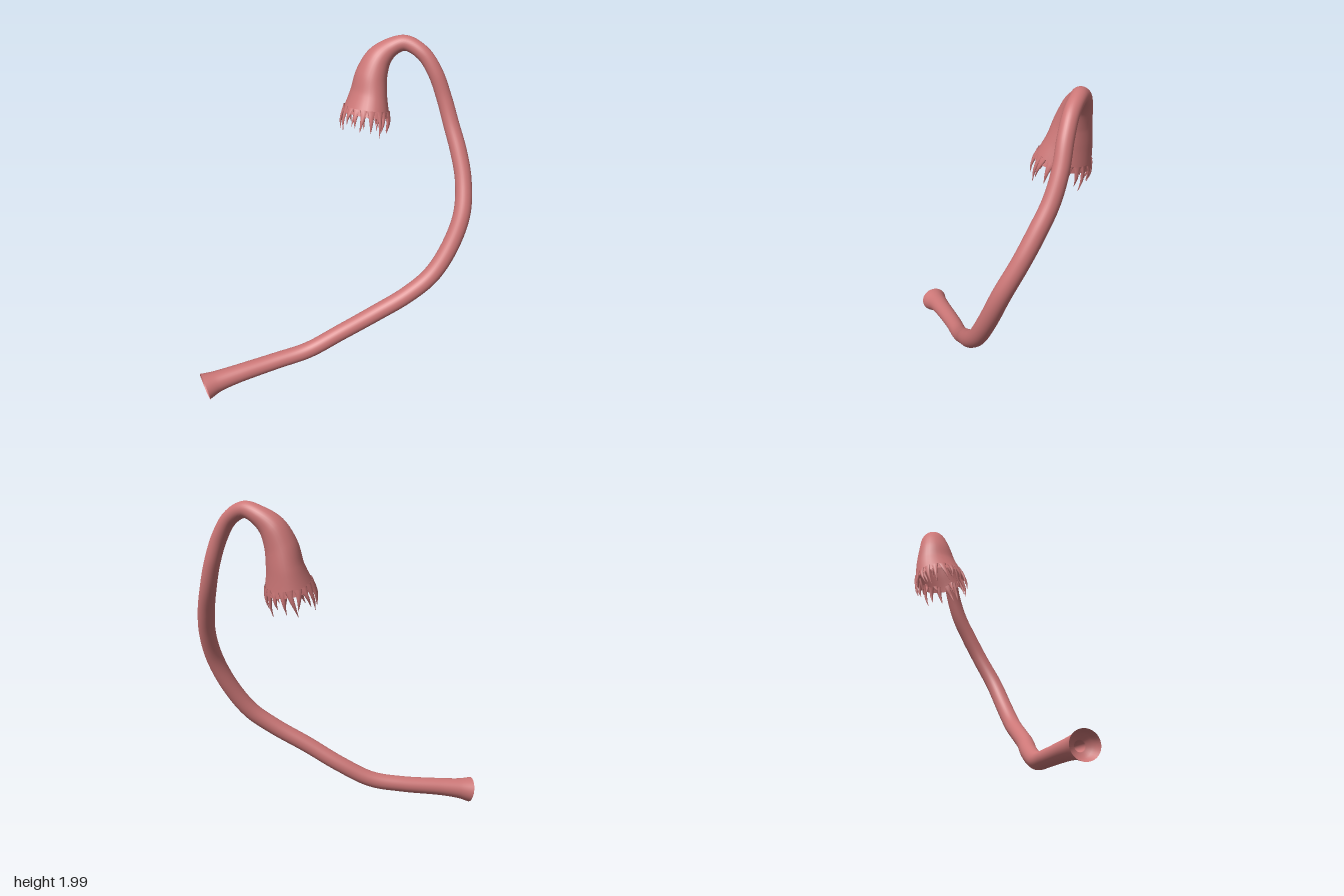
import * as THREE from 'three';

const material = new THREE.MeshStandardMaterial({ color: 0xcc7777, side: THREE.DoubleSide });

// Path stations: x, y, z, depth radius, width radius
const STATIONS = [
  [-0.86, 0.087, 0.13, 0.086, 0.08], [-0.78, 0.102, 0.13, 0.066, 0.064], [-0.65, 0.122, 0.137, 0.057, 0.055],
  [-0.4, 0.155, 0.155, 0.052, 0.05], [-0.2, 0.195, 0.185, 0.05, 0.05], [0, 0.3, 0.23, 0.05, 0.05],
  [0.2, 0.425, 0.293, 0.051, 0.051], [0.4, 0.545, 0.342, 0.052, 0.052], [0.55, 0.66, 0.36, 0.053, 0.053],
  [0.675, 0.83, 0.35, 0.053, 0.053], [0.765, 1.02, 0.313, 0.052, 0.052], [0.808, 1.2, 0.232, 0.05, 0.05],
  [0.813, 1.35, 0.15, 0.05, 0.05], [0.8, 1.5, 0.065, 0.048, 0.048], [0.775, 1.65, 0.005, 0.046, 0.046],
  [0.73, 1.8, -0.042, 0.045, 0.045], [0.675, 1.905, -0.1, 0.044, 0.044], [0.6, 1.955, -0.18, 0.046, 0.046],
  [0.53, 1.925, -0.228, 0.06, 0.055], [0.46, 1.86, -0.25, 0.085, 0.076], [0.415, 1.76, -0.253, 0.11, 0.093],
  [0.395, 1.65, -0.245, 0.137, 0.106], [0.37, 1.53, -0.226, 0.168, 0.138],
];

function makePath(stations, ref) {
  const centre = new THREE.CatmullRomCurve3(stations.map(s => new THREE.Vector3(s[0], s[1], s[2])));
  const radii = new THREE.CatmullRomCurve3(stations.map(s => new THREE.Vector3(s[3], s[4], 0)), false, 'catmullrom');
  // Elliptical cross-section at u, with its axes
  const frame = u => {
    const t = centre.getTangent(u);
    const b = ref.clone().addScaledVector(t, -ref.dot(t)).normalize();
    return { p: centre.getPoint(u), t, b, n: t.clone().cross(b), r: radii.getPoint(u) };
  };
  const point = (f, a, scale = 1) => f.p.clone()
    .addScaledVector(f.b, Math.cos(a) * f.r.x * scale)
    .addScaledVector(f.n, Math.sin(a) * f.r.y * scale);
  return { frame, point };
}

// Skin a list of rings [u, scale] along a path
function skin(path, rings, sides) {
  const pos = [], index = [];
  rings.forEach(([u, scale], i) => {
    const f = path.frame(u);
    for (let j = 0; j < sides; j++) {
      pos.push(...path.point(f, (j / sides) * Math.PI * 2, scale).toArray());
      if (i === rings.length - 1) continue;
      const a = i * sides + j, b = i * sides + (j + 1) % sides;
      index.push(a, b, a + sides, b, b + sides, a + sides);
    }
  });
  const g = new THREE.BufferGeometry();
  g.setAttribute('position', new THREE.Float32BufferAttribute(pos, 3));
  g.setIndex(index);
  g.computeVertexNormals();
  return g;
}

const steps = (n, fn) => Array.from({ length: n + 1 }, (_, i) => fn(i / n));

export function createModel() {
  const group = new THREE.Group();
  const add = (name, geometry, parent = group) => {
    const mesh = new THREE.Mesh(geometry, material);
    mesh.name = name;
    parent.add(mesh);
  };
  let seed = 7;
  const rand = () => (seed = (seed * 16807) % 2147483647) / 2147483647;

  const path = makePath(STATIONS, new THREE.Vector3(0, 0, 1));

  // Outer wall of the duct and its trumpet-shaped end
  add('outerWall', skin(path, steps(180, u => [u, 1]), 32));

  // Inner lining: shallow cup at the narrow end, thin canal, then widening to the mouth
  const canal = steps(120, k => {
    const u = 0.035 + k * 0.965;
    return [u, 0.42 + 0.55 * THREE.MathUtils.smoothstep(u, 0.8, 1)];
  });
  add('innerLining', skin(path, [[0, 1], [0.012, 0.93], [0.025, 0.85], [0.03, 0.45], ...canal], 32));

  // Ragged fringe of tapering fingers around the mouth, with a shorter inner row
  const fringe = new THREE.Group();
  fringe.name = 'fringe';
  group.add(fringe);
  const rim = path.frame(0.992);
  const addFingers = (count, scale, minLength, spread, width) => {
    for (let i = 0; i < count; i++) {
      const a = ((i + 0.35 * (rand() - 0.5)) / count) * Math.PI * 2;
      const base = path.point(rim, a, scale);
      const out = base.clone().sub(rim.p).normalize();
      const along = rim.t.clone().cross(out).normalize();
      const length = minLength + 0.06 * rand();
      const sway = (rand() - 0.5) * 0.05;
      const w = width * (0.85 + 0.3 * rand());
      const station = (k, lift, side, rw, rt) => {
        const p = base.clone().addScaledVector(rim.t, length * k)
          .addScaledVector(out, lift).addScaledVector(along, side);
        return [p.x, p.y, p.z, rw, rt];
      };
      const finger = makePath([
        station(-0.12, -0.003, 0, w, 0.007),
        station(0.2, spread * 0.4, sway * 0.1, w * 0.62, 0.009),
        station(0.55, spread, sway * 0.5, w * 0.36, 0.007),
        station(1, spread * 0.7, sway, 0.001, 0.001),
      ], along);
      add('finger', skin(finger, steps(10, u => [u, 1]), 8), fringe);
    }
  };
  addFingers(19, 0.98, 0.085, 0.012, 0.025);
  addFingers(9, 0.82, 0.05, -0.006, 0.02);

  return group;
}
